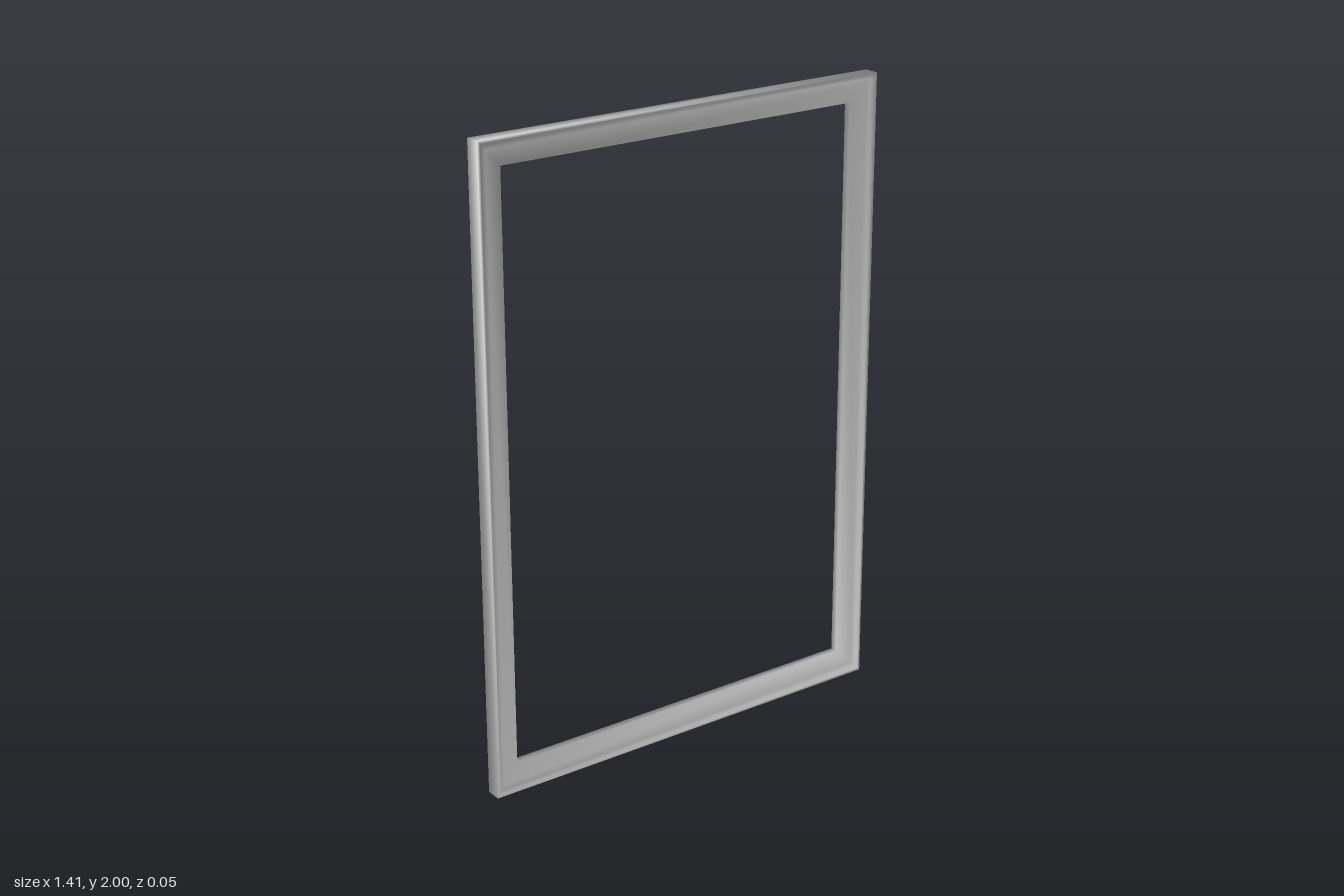
import * as THREE from 'three';

// Sweeps a closed moulding profile around a rectangle with mitred corners.
// Each profile point is [distance in from the outer edge, z].
function mitredFrame(halfW, halfH, profile) {
  const corners = [[1, -1], [1, 1], [-1, 1], [-1, -1]];
  const n = profile.length;
  const positions = [];
  const indices = [];
  corners.forEach(([sx, sy], i) => {
    const next = (i + 1) % 4;
    profile.forEach(([inset, z], j) => {
      positions.push(sx * (halfW - inset), halfH + sy * (halfH - inset), z);
      const k = (j + 1) % n;
      const a = i * n + j, b = next * n + j, c = next * n + k, d = i * n + k;
      indices.push(a, b, c, a, c, d);
    });
  });
  const geometry = new THREE.BufferGeometry();
  geometry.setAttribute('position', new THREE.Float32BufferAttribute(positions, 3));
  geometry.setIndex(indices);
  geometry.computeVertexNormals();
  return geometry;
}

export function createModel() {
  const group = new THREE.Group();
  group.name = 'pictureFrame';

  // Flat back, raised outer lip, and a face sloping down to a thin inner edge
  const profile = [
    [0, -0.025],
    [0, 0.025],
    [0.009, 0.025],
    [0.016, 0.016],
    [0.03, 0.014],
    [0.085, 0.003],
    [0.085, -0.02],
  ];
  const frame = new THREE.Mesh(
    mitredFrame(0.707, 1, profile),
    new THREE.MeshStandardMaterial({ color: 0xcccccc })
  );
  frame.name = 'frameMoulding';
  group.add(frame);
  return group;
}
